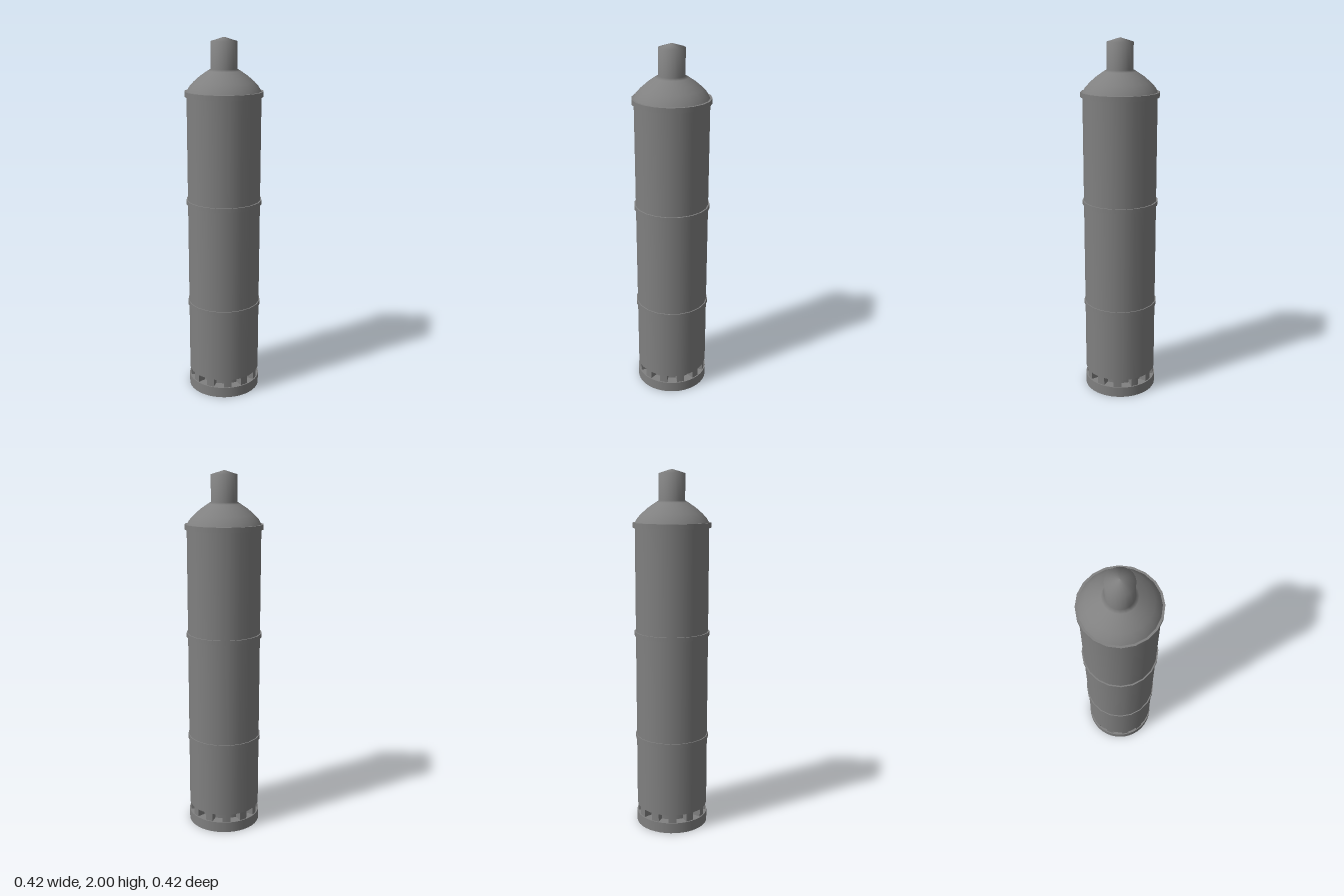
import * as THREE from 'three';

const material = new THREE.MeshStandardMaterial({ color: 0x808080 });
const sides = 20;

export function createModel() {
  const model = new THREE.Group();

  const add = (name, geometry) => {
    const mesh = new THREE.Mesh(geometry, material);
    mesh.name = name;
    model.add(mesh);
    return mesh;
  };

  // Upright cylinder between two heights
  const drum = (name, radius, y0, y1, segments = sides) => {
    add(name, new THREE.CylinderGeometry(radius, radius, y1 - y0, segments)).position.y = (y0 + y1) / 2;
  };

  // Foot ring, recessed core and the long body
  drum('base', 0.203, 0, 0.06, 40);
  drum('ventCore', 0.15, 0.05, 0.12, 40);
  drum('body', 0.201, 0.107, 1.71);

  // Pillars between the twelve vent windows
  const count = 12;
  const half = THREE.MathUtils.degToRad(6.5);
  const sector = new THREE.Shape();
  sector.absarc(0, 0, 0.196, -half, half, false);
  sector.absarc(0, 0, 0.145, half, -half, true);
  sector.closePath();
  const pillarGeometry = new THREE.ExtrudeGeometry(sector, { depth: 0.055, bevelEnabled: false, curveSegments: 4 });
  pillarGeometry.rotateX(-Math.PI / 2);
  for (let i = 0; i < count; i++) {
    const pillar = add('ventPillar', pillarGeometry);
    pillar.position.y = 0.056;
    pillar.rotation.y = ((i + 0.5) / count) * Math.PI * 2;
  }

  // Raised bands around the body
  drum('lowerBand', 0.207, 0.507, 0.531);
  drum('middleBand', 0.209, 1.104, 1.127);
  drum('upperBand', 0.212, 1.693, 1.72);

  // Domed shoulder flowing smoothly into the neck and its shallow pointed cap
  const profile = [
    [0.201, 1.719], [0.187, 1.743], [0.164, 1.768], [0.128, 1.799], [0.088, 1.826],
    [0.071, 1.836], [0.071, 1.978], [0, 2],
  ].map(([r, y]) => new THREE.Vector2(r, y));
  add('shoulderAndNeck', new THREE.LatheGeometry(profile, sides));

  return model;
}
